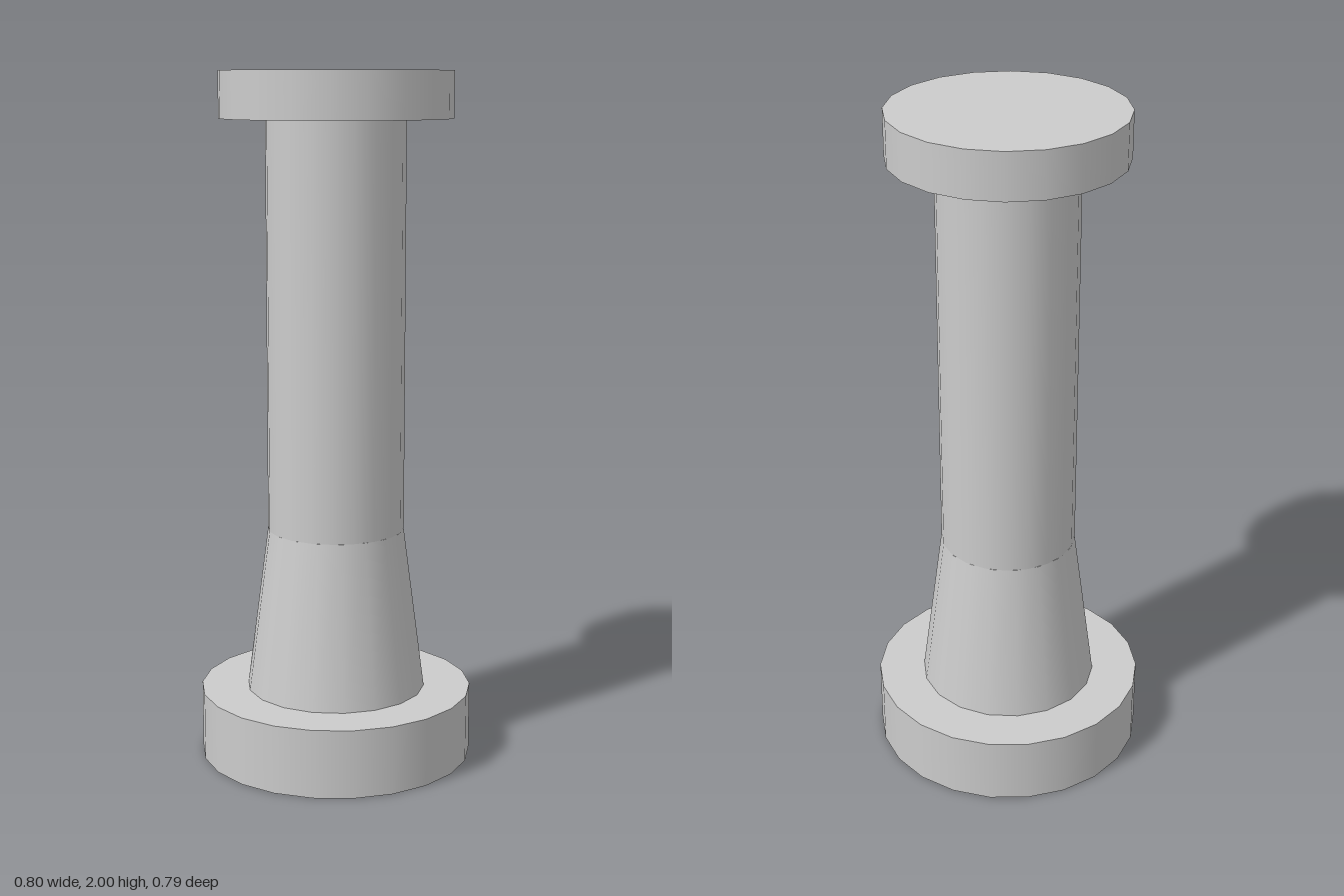
import * as THREE from 'three';

export function createModel() {
  const group = new THREE.Group();
  const material = new THREE.MeshStandardMaterial({ color: 0xcccccc });

  // Upright round section between two heights; turn = rotation about y
  function section(name, rTop, rBottom, y0, y1, sides, turn = 0) {
    const geometry = new THREE.CylinderGeometry(rTop, rBottom, y1 - y0, sides);
    geometry.rotateY(turn);
    geometry.translate(0, (y0 + y1) / 2, 0);
    const mesh = new THREE.Mesh(geometry, material);
    mesh.name = name;
    group.add(mesh);
  }

  // Wide foot, with corners on the x axis
  section('base', 0.4, 0.4, 0, 0.2, 22, Math.PI / 2);
  // Tapered lower part of the column
  section('flare', 0.2, 0.263, 0.2, 0.68, 18, Math.PI / 2);
  // Straight column
  section('shaft', 0.2, 0.2, 0.68, 1.867, 20);
  // Top disc
  section('cap', 0.333, 0.333, 1.867, 2, 20);

  return group;
}
